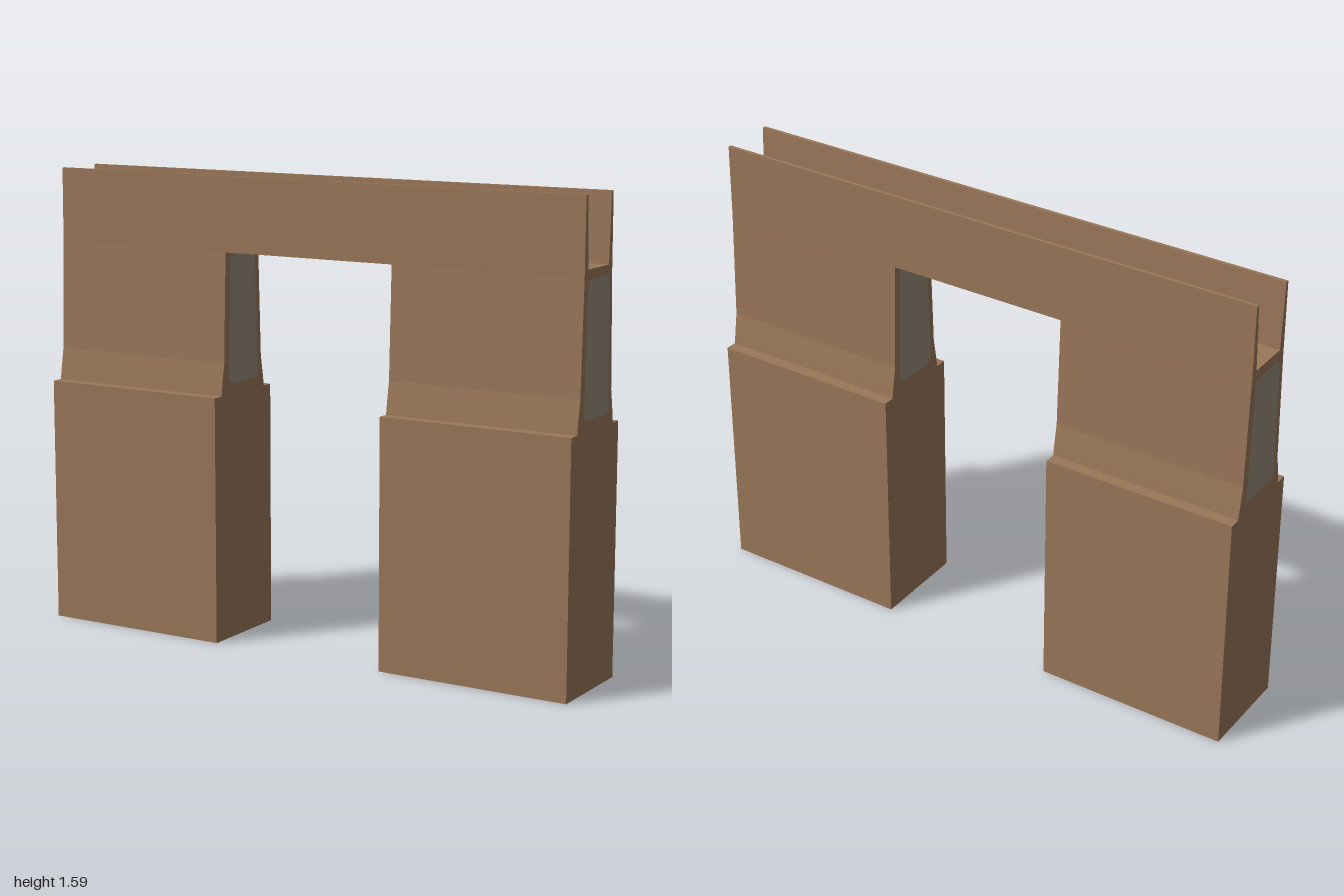
import * as THREE from 'three';

const OUT = 1, IN = 0.32;          // outer and inner ends of each pier
const SOFFIT = 1.335, FLOOR = 1.36, TOP = 1.59;

// Front half of the pier section as [z, y], from the ground to the beam
const PIER = [[0.172, 0], [0.172, 0.85], [0.131, 0.85], [0.126, 0.885], [0.113, 0.96], [0.1, SOFFIT]];
// Front half of the channel on top, from the outer wall to the channel floor
const CHANNEL = [[0.1, SOFFIT], [0.098, TOP], [0.086, TOP], [0.075, FLOOR]];

const mirror = (pts) => pts.map(([z, y]) => [-z, y]).reverse();

// Sweep a section along x; the path runs up the front, over, and down the back
function sweep(path, x0, x1) {
  const pos = [];
  for (let i = 0; i < path.length - 1; i++) {
    const [za, ya] = path[i], [zb, yb] = path[i + 1];
    pos.push(x0, ya, za, x1, ya, za, x1, yb, zb);
    pos.push(x0, ya, za, x1, yb, zb, x0, yb, zb);
  }
  const g = new THREE.BufferGeometry();
  g.setAttribute('position', new THREE.Float32BufferAttribute(pos, 3));
  g.computeVertexNormals();
  return g;
}

// Flat face across the x axis, facing dir (+1 or -1)
function face(shape, x, dir) {
  return new THREE.ShapeGeometry(shape, 6).rotateY(dir * Math.PI / 2).translate(x, 0, 0);
}

const polygon = (pts) => new THREE.Shape(pts.map(([z, y]) => new THREE.Vector2(z, y)));

// Tapered panel with rounded corners
function panelShape() {
  const c = [[-0.09, 0.888], [0.09, 0.888], [0.076, 1.328], [-0.076, 1.328]]
    .map(([z, y]) => new THREE.Vector2(z, y));
  const s = new THREE.Shape();
  c.forEach((p, i) => {
    const prev = c[(i + 3) % 4], next = c[(i + 1) % 4];
    const r = 0.025;
    const a = p.clone().add(prev.clone().sub(p).setLength(r));
    const b = p.clone().add(next.clone().sub(p).setLength(r));
    if (i === 0) s.moveTo(a.x, a.y); else s.lineTo(a.x, a.y);
    s.quadraticCurveTo(p.x, p.y, b.x, b.y);
  });
  s.closePath();
  return s;
}

export function createModel() {
  const group = new THREE.Group();
  const brown = new THREE.MeshStandardMaterial({ color: 0x9b7859, side: THREE.DoubleSide });
  brown.name = 'brown';
  const grey = new THREE.MeshStandardMaterial({ color: 0x9b8c7a, side: THREE.DoubleSide });
  grey.name = 'grey';

  const add = (parent, name, geometry, material = brown) => {
    const mesh = new THREE.Mesh(geometry, material);
    mesh.name = name;
    parent.add(mesh);
  };

  // Beam: outer walls, rims and open channel along the full length
  add(group, 'beamChannel', sweep([...CHANNEL, ...mirror(CHANNEL)], -OUT, OUT));
  add(group, 'beamUnderside', sweep([[-0.1, SOFFIT], [0.1, SOFFIT]], -IN, IN));

  // Two hollow piers, open at the bottom
  const innerEnd = polygon([...PIER, ...mirror(PIER)]);
  const outerEnd = polygon([...PIER, ...CHANNEL.slice(1), ...mirror(CHANNEL).slice(0, -1), ...mirror(PIER)]);
  const panel = panelShape();
  for (const side of [1, -1]) {
    const pier = new THREE.Group();
    pier.name = side > 0 ? 'leftPier' : 'rightPier';
    const x0 = side > 0 ? IN : -OUT, x1 = side > 0 ? OUT : -IN;
    add(pier, 'pierFront', sweep(PIER, x0, x1));
    add(pier, 'pierBack', sweep(mirror(PIER), x0, x1));
    add(pier, 'pierOuterEnd', face(outerEnd, side * OUT, side));
    add(pier, 'pierInnerEnd', face(innerEnd, side * IN, -side));
    // Inset-looking grey panels on both ends
    add(pier, 'outerPanel', face(panel, side * (OUT + 0.002), side), grey);
    add(pier, 'innerPanel', face(panel, side * (IN - 0.002), -side), grey);
    group.add(pier);
  }
  return group;
}
